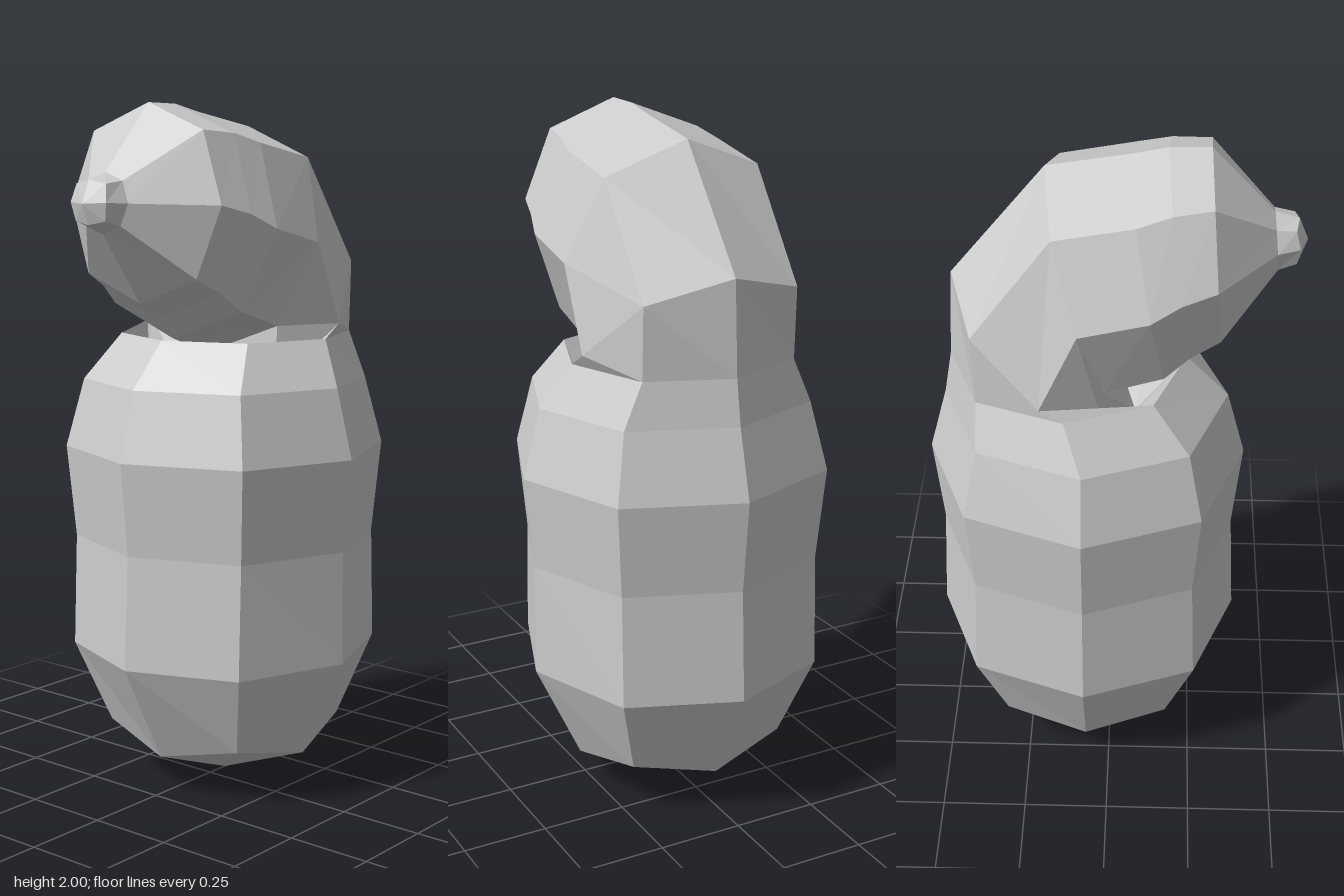
import * as THREE from 'three';

// Octagonal cross-sections along the bent spine:
// centre (cx, cy), outward vector (ux, uy), half-depth rz,
// diagonal factor k and shift (sx, sy) of the diagonal corners
const RINGS = [
  { c: [0.07, 0.113], u: [0.298, 0], rz: 0.298, k: 0.82, s: [0, 0.052] },
  { c: [0.07, 0.41], u: [0.45, 0], rz: 0.437 },
  { c: [0.07, 0.74], u: [0.434, 0], rz: 0.434 },
  { c: [0.07, 1.01], u: [0.46, 0], rz: 0.46 },
  { c: [0.07, 1.21], u: [0.407, 0], rz: 0.407 },
  { c: [0.12, 1.34], u: [0.335, 0], rz: 0.328 },
  { c: [0.185, 1.38], u: [0.255, 0.23], rz: 0.328 }, // neck fold
  { c: [0.08, 1.615], u: [0.095, 0.325], rz: 0.328 },
  { c: [-0.11, 1.66], u: [0.055, 0.318], rz: 0.328 },
  { c: [-0.19, 1.7], u: [0.038, 0.298], rz: 0.303 },
  { c: [-0.285, 1.725], u: [0.02, 0.275], rz: 0.277 },
  { c: [-0.445, 1.73], u: [0.007, 0.083], rz: 0.087 },
  { c: [-0.507, 1.733], u: [0.003, 0.06], rz: 0.065, k: 0.83, s: [0.01, 0] },
];
const BASE_APEX = [0.07, 0, 0];
const TIP_APEX = [-0.53, 1.73, 0];

// Eight corners of a ring, starting on the outward vector and turning to +z
function ringPoints({ c, u, rz, k = 0.725, s = [0, 0] }) {
  return Array.from({ length: 8 }, (_, j) => {
    const diagonal = j % 2;
    const f = diagonal ? k : 1;
    const a = Math.sign(Math.round(Math.cos(j * Math.PI / 4) * 10)) * f;
    const b = Math.sign(Math.round(Math.sin(j * Math.PI / 4) * 10)) * f;
    return [c[0] + u[0] * a + s[0] * diagonal, c[1] + u[1] * a + s[1] * diagonal, rz * b];
  });
}

// Skin between rings, with optional four-quad caps at either end
function skin(rings, startApex, endApex) {
  const pos = [];
  const quad = (a, b, c, d) => pos.push(...a, ...b, ...c, ...a, ...c, ...d);
  const pts = rings.map(ringPoints);
  for (let i = 0; i < pts.length - 1; i++) {
    for (let j = 0; j < 8; j++) {
      const n = (j + 1) % 8;
      quad(pts[i][j], pts[i + 1][j], pts[i + 1][n], pts[i][n]);
    }
  }
  const last = pts[pts.length - 1];
  for (let j = 0; j < 8; j += 2) {
    const n = (j + 2) % 8;
    if (startApex) quad(startApex, pts[0][j], pts[0][j + 1], pts[0][n]);
    if (endApex) quad(endApex, last[n], last[j + 1], last[j]);
  }
  const geo = new THREE.BufferGeometry();
  geo.setAttribute('position', new THREE.Float32BufferAttribute(pos, 3));
  geo.computeVertexNormals();
  return geo;
}

export function createModel() {
  const group = new THREE.Group();
  const grey = new THREE.MeshStandardMaterial({ color: 0xcccccc, flatShading: true });
  grey.name = 'light grey';

  const add = (name, geometry) => {
    const mesh = new THREE.Mesh(geometry, grey);
    mesh.name = name;
    group.add(mesh);
  };

  add('body', skin(RINGS.slice(0, 6), BASE_APEX, null));
  add('neck', skin(RINGS.slice(5, 8), null, null));
  add('head', skin(RINGS.slice(7, 12), null, null));
  add('nose', skin(RINGS.slice(11), null, TIP_APEX));
  return group;
}
